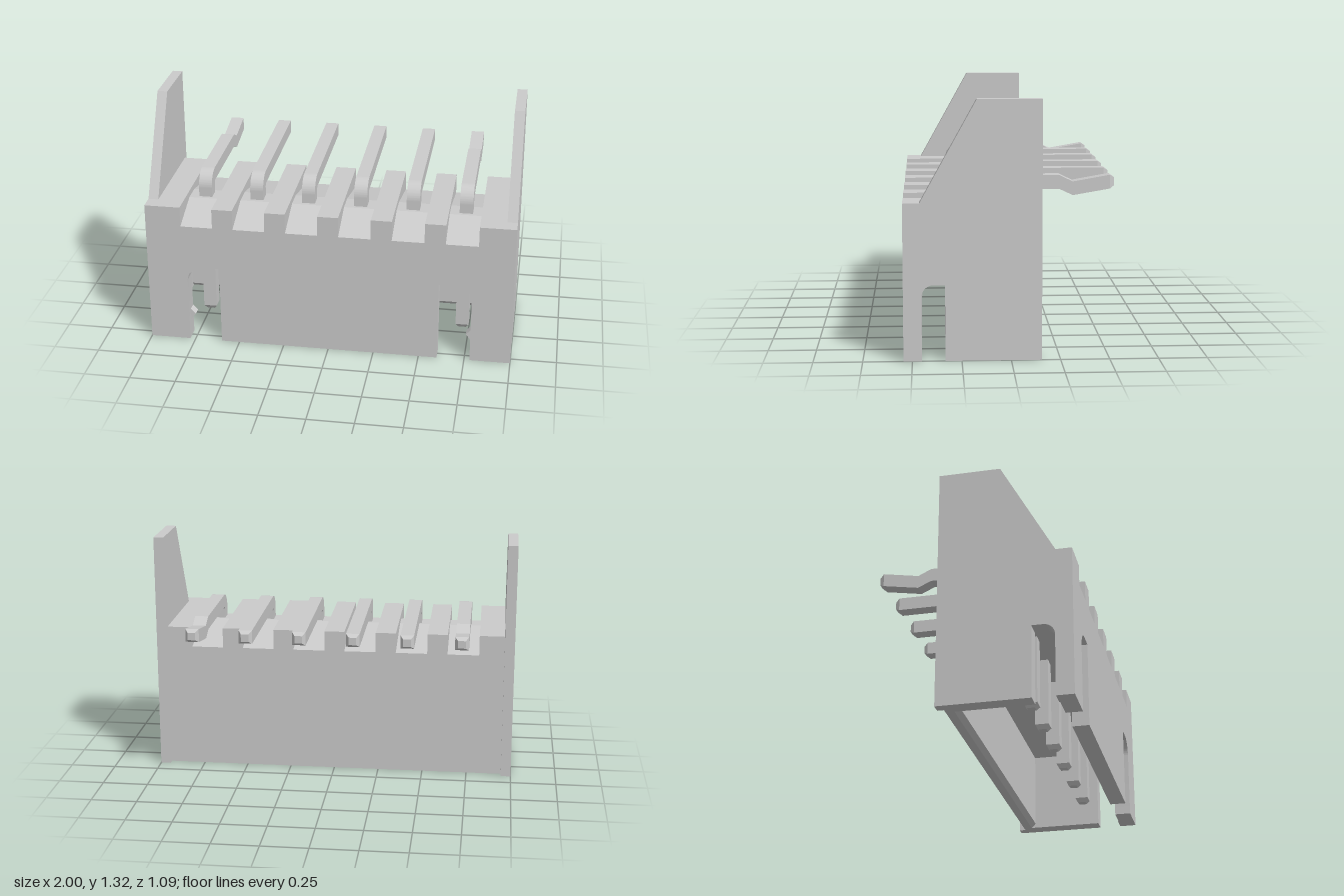
import * as THREE from 'three';
import { toCreasedNormals } from 'three/addons/utils/BufferGeometryUtils.js';

const plastic = new THREE.MeshStandardMaterial({ color: 0xcccccc });
const metal = new THREE.MeshStandardMaterial({ color: 0xcccccc });

const polygon = (points) => new THREE.Shape(points.map(([a, b]) => new THREE.Vector2(a, b)));

function part(name, geometry, material = plastic) {
  const mesh = new THREE.Mesh(toCreasedNormals(geometry, 0.15), material);
  mesh.name = name;
  return mesh;
}

// Extrudes a (z, y) outline from x0 to x1
function extrudeX(shape, x0, x1) {
  return new THREE.ExtrudeGeometry(shape, { depth: x1 - x0, bevelEnabled: false, curveSegments: 12 })
    .rotateY(-Math.PI / 2).translate(x1, 0, 0);
}

// Box from its limits
function box(x0, x1, y0, y1, z0, z1) {
  return new THREE.BoxGeometry(x1 - x0, y1 - y0, z1 - z0)
    .translate((x0 + x1) / 2, (y0 + y1) / 2, (z0 + z1) / 2);
}

const FRONT = 0.545, BACK = -0.12, TOP = 0.805, CEILING = 0.45;
const PITCH = 0.2873, NOTCH = 0.0875, PLATE_X = 0.945;

// Side outline with the round-cornered slot in its lower edge
function sideOutline(back, upper) {
  const s = new THREE.Shape();
  s.moveTo(back, 0);
  s.lineTo(0.333, 0);
  s.lineTo(0.333, 0.39);
  s.lineTo(0.392, 0.39);
  s.absarc(0.392, 0.33, 0.06, Math.PI / 2, 0, true);
  s.lineTo(0.452, 0);
  s.lineTo(FRONT, 0);
  upper.forEach(([z, y]) => s.lineTo(z, y));
  s.closePath();
  return s;
}

// Front wall with a slot near each end
function frontWall() {
  const s = new THREE.Shape(), w = PLATE_X, r = 0.09;
  s.moveTo(-w, 0);
  s.lineTo(-0.78, 0);
  s.lineTo(-0.78, CEILING - r);
  s.absarc(-0.78 + r, CEILING - r, r, Math.PI, Math.PI / 2, true);
  s.lineTo(-0.6, CEILING);
  s.lineTo(-0.6, 0);
  s.lineTo(0.6, 0);
  s.lineTo(0.6, CEILING);
  s.lineTo(0.78 - r, CEILING);
  s.absarc(0.78 - r, CEILING - r, r, Math.PI / 2, 0, true);
  s.lineTo(0.78, 0);
  s.lineTo(w, 0);
  s.lineTo(w, CEILING + 0.01);
  s.lineTo(-w, CEILING + 0.01);
  s.closePath();
  return new THREE.ExtrudeGeometry(s, { depth: 0.088, bevelEnabled: false, curveSegments: 12 })
    .translate(0, 0, FRONT - 0.088);
}

// Bent square pin; kinked pins dip before the tip
function makePin(x, kinked) {
  const h = 0.036, z = 0.22, y = 0.82, tip = -0.522;
  const s = new THREE.Shape();
  s.moveTo(0.31, 0.085);
  s.lineTo(0.31, y);
  s.absarc(z, y, 0.09, 0, Math.PI / 2, false);
  if (kinked) {
    s.lineTo(-0.26, 0.91);
    s.lineTo(-0.33, 0.876);
  }
  s.lineTo(tip, 0.91);
  s.lineTo(tip, 0.838);
  if (kinked) {
    s.lineTo(-0.33, 0.805);
    s.lineTo(-0.26, 0.838);
  }
  s.lineTo(z, 0.838);
  s.absarc(z, y, 0.018, Math.PI / 2, 0, true);
  s.lineTo(0.238, 0.085);
  s.closePath();

  const pin = new THREE.Group();
  pin.name = kinked ? 'kinkedPin' : 'straightPin';
  const taper = () => new THREE.CylinderGeometry(h * 0.8, h * Math.SQRT2, 0.023, 4).rotateY(Math.PI / 4);
  pin.add(
    part('pinShaft', extrudeX(s, -h, h), metal),
    part('matingTip', taper().rotateX(Math.PI).translate(0, 0.0735, 0.274), metal),
    part('solderTip', taper().rotateX(-Math.PI / 2).translate(0, 0.874, tip - 0.0115), metal),
  );
  pin.position.x = x;
  return pin;
}

export function createModel() {
  const model = new THREE.Group();
  model.name = 'pinHeader';
  const housing = new THREE.Group();
  housing.name = 'housing';
  model.add(housing);

  housing.add(part('frontWall', frontWall()));

  // Back wall with a chamfered inner lower edge
  housing.add(part('backWall', extrudeX(polygon([
    [BACK, 0], [-0.075, 0], [-0.05, 0.025], [-0.05, CEILING + 0.01], [BACK, CEILING + 0.01],
  ]), -PLATE_X, PLATE_X)));

  // Side plates, inner linings and latch bumps
  const plate = sideOutline(-0.155, [[FRONT, TOP], [0.46, TOP], [0.172, 1.323], [-0.155, 1.323]]);
  const lining = sideOutline(BACK, [[FRONT, CEILING + 0.01], [BACK, CEILING + 0.01]]);
  for (const side of [-1, 1]) {
    const span = (a, b) => (side > 0 ? [a, b] : [-b, -a]);
    housing.add(part('sidePlate', extrudeX(plate, ...span(PLATE_X, 1))));
    housing.add(part('sideLining', extrudeX(lining, ...span(0.915, PLATE_X))));
    housing.add(part('endTop', box(...span(5 * PITCH / 2 + NOTCH, PLATE_X), CEILING, TOP, BACK, FRONT)));
    const bump = polygon([[side * 0.782, 0.1], [side * 0.753, 0.138], [side * 0.782, 0.168]]);
    housing.add(part('latchBump', new THREE.ExtrudeGeometry(bump, { depth: 0.05, bevelEnabled: false })
      .translate(0, 0, FRONT - 0.088)));
  }

  // Ridged notch floors with their pins, and the teeth between them
  const notchFloor = polygon([
    [BACK, CEILING], [FRONT, CEILING], [FRONT, 0.693], [0.33, 0.77], [0.22, 0.77], [BACK, 0.693],
  ]);
  for (let i = 0; i < 6; i++) {
    const x = (i - 2.5) * PITCH;
    housing.add(part('notchFloor', extrudeX(notchFloor, x - NOTCH, x + NOTCH)));
    if (i < 5) housing.add(part('tooth', box(x + NOTCH, x + PITCH - NOTCH, CEILING, TOP, BACK, FRONT)));
    model.add(makePin(x, i === 0 || i === 5));
  }
  return model;
}
